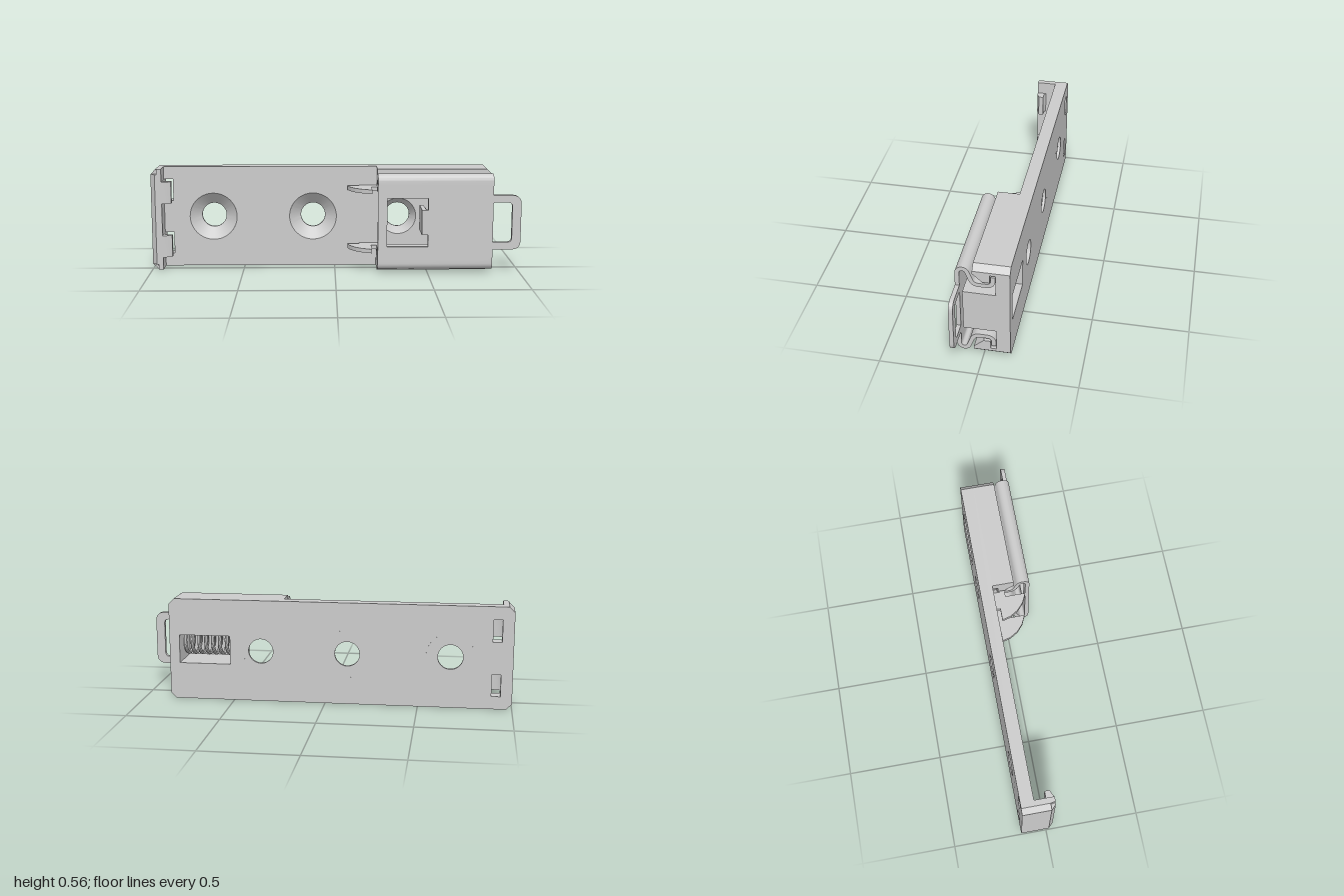
import * as THREE from 'three';
import { toCreasedNormals } from 'three/addons/utils/BufferGeometryUtils.js';

const MID = 0.278, H = 0.556, BACK = -0.135, FLOOR = -0.065;
const mat = new THREE.MeshStandardMaterial({ color: 0xcccccc, side: THREE.DoubleSide });

export function createModel() {
  const model = new THREE.Group();

  const add = (name, geo) => {
    const mesh = new THREE.Mesh(toCreasedNormals(geo, 0.6), mat);
    mesh.name = name;
    model.add(mesh);
    return mesh;
  };
  const rect = (x0, x1, y0, y1) => [[x0, y0], [x1, y0], [x1, y1], [x0, y1]];
  const toShape = (pts) => new THREE.Shape(pts.map((p) => new THREE.Vector2(p[0], p[1])));
  const extrude = (shape, depth) =>
    new THREE.ExtrudeGeometry(shape, { depth, bevelEnabled: false, curveSegments: 20 });
  // outline in (x, y), extruded along z
  const alongZ = (shape, z0, z1) => extrude(shape, z1 - z0).translate(0, 0, z0);
  // outline in (z, y), extruded along x
  const alongX = (pts, x0, x1) =>
    extrude(toShape(pts.map(([z, y]) => [-z, y])), x1 - x0).rotateY(Math.PI / 2).translate(x0, 0, 0);
  // outline in (x, z), extruded along y
  const alongY = (pts, y0, y1) =>
    extrude(toShape(pts.map(([x, z]) => [x, -z])), y1 - y0).rotateX(-Math.PI / 2).translate(0, y0, 0);
  const box = (x0, x1, y0, y1, z0, z1) => alongZ(toShape(rect(x0, x1, y0, y1)), z0, z1);
  const flip = (pts) => pts.map(([a, y]) => [a, H - y]);
  const circle = (x, r) => new THREE.Path().absarc(x, MID, r, 0, Math.PI * 2, true);

  // Base plate with chamfered corners, screw holes, hook slots and spring window
  const c = 0.03;
  const plate = toShape([[-1, c], [-1 + c, 0], [0.855 - c, 0], [0.855, c],
    [0.855, H - c], [0.855 - c, H], [-1 + c, H], [-1, H - c]]);
  const screws = [[-0.67, 0.13], [-0.12, 0.13], [0.35, 0.1]];
  screws.forEach(([x, r]) => plate.holes.push(circle(x, r)));
  const hookSpans = [[0.07, 0.19], [H - 0.19, H - 0.07]];
  hookSpans.forEach(([y0, y1]) => plate.holes.push(toShape(rect(-0.938, -0.89, y0, y1))));
  plate.holes.push(toShape(rect(0.52, 0.8, 0.2, 0.356)));
  add('basePlate', alongZ(plate, BACK, FLOOR));

  // Countersinks filling the screw holes
  for (const [x, r] of screws) {
    const profile = [[r, FLOOR], [0.067, -0.12], [0.067, BACK], [r, BACK], [r, FLOOR]];
    const geo = new THREE.LatheGeometry(profile.map((p) => new THREE.Vector2(p[0], p[1])), 48);
    add('countersink', geo.rotateX(Math.PI / 2).translate(x, MID, 0));
  }

  // End lip with two inward hooks
  add('endLip', alongZ(toShape([[-0.94, 0], [-1 + c, 0], [-1, c], [-1, H - c], [-1 + c, H], [-0.94, H]]),
    FLOOR, 0.015));
  add('endLipEdge', alongY([[-1, 0.015], [-0.975, 0.04], [-0.94, 0.04], [-0.94, 0.015]], c, H - c));
  for (const s of [0, 1]) {
    const y0 = s ? H - c : 0;
    add('endLipCorner', alongY([[-0.97, 0.015], [-0.965, 0.04], [-0.94, 0.04], [-0.94, 0.015]], y0, y0 + c));
  }
  for (const [y0, y1] of hookSpans) {
    add('lipHook', alongY([[-0.945, 0.04], [-0.92, 0.04], [-0.89, 0.026], [-0.89, 0],
      [-0.925, 0], [-0.945, -0.012]], y0, y1));
  }

  // Clip centreline in (z, y): front bend, sloping leg, flange, hooked end
  const arc = (cz, cy, r, a0, a1, n) => Array.from({ length: n + 1 }, (_, i) => {
    const a = THREE.MathUtils.degToRad(a0 + (a1 - a0) * i / n);
    return [cz + r * Math.cos(a), cy + r * Math.sin(a)];
  });
  const line = [[0.125, 0.48], ...arc(0.0993, 0.503, 0.0257, 0, 160, 14),
    ...arc(0.022, 0.48, 0.039, -20, -90, 8), ...arc(-0.02, 0.472, 0.031, 270, 180, 8), [-0.051, 0.497]];
  const offset = (d) => line.map(([z, y], i) => {
    const a = line[Math.max(i - 1, 0)], b = line[Math.min(i + 1, line.length - 1)];
    const l = Math.hypot(b[0] - a[0], b[1] - a[1]);
    return [z - d * (b[1] - a[1]) / l, y + d * (b[0] - a[0]) / l];
  });
  const strip = [...offset(0.011), ...offset(-0.011).reverse()];

  // Guide rail cross-section in (z, y), undercut for the clip ends
  const rail = [[FLOOR, 0.526], [0.05, 0.526], [0.05, 0.51], [0, 0.465], [-0.035, 0.465],
    [-0.035, 0.51], [FLOOR, 0.51]];
  const railSide = [[0.23, 0.526], [0.855, 0.526], [0.825, H], [0.23, H]];
  // Catch tooth in (x, z)
  const tooth = [[0.24, FLOOR], [0.135, FLOOR], [0.135, -0.04], [0.07, -0.04], [0.082, 0.005],
    [0.11, 0.05], [0.15, 0.085], [0.2, 0.108], [0.2, 0], [0.24, 0]];
  for (const m of [(p) => p, flip]) {
    add('guideRail', alongX(m(rail), 0.23, 0.855));
    add('guideRailSide', alongZ(toShape(m(railSide)), FLOOR, 0.05));
    add('clipSide', alongX(m(strip), 0.23, 0.85));
    const y = m([[0, 0.441]])[0][1];
    add('catchTooth', alongY(tooth, y - 0.011, y + 0.011));
  }

  // Clip front with window, tab and pull loop
  const front = new THREE.Shape();
  front.moveTo(0.23, 0.076);
  front.lineTo(0.85, 0.076);
  front.lineTo(0.85, 0.13);
  front.lineTo(0.95, 0.13);
  front.quadraticCurveTo(1, 0.13, 1, 0.18);
  front.lineTo(1, H - 0.18);
  front.quadraticCurveTo(1, H - 0.13, 0.95, H - 0.13);
  front.lineTo(0.85, H - 0.13);
  front.lineTo(0.85, H - 0.076);
  front.lineTo(0.23, H - 0.076);
  front.holes.push(toShape([[0.28, 0.145], [0.5, 0.145], [0.5, 0.21], [0.467, 0.21],
    [0.467, H - 0.21], [0.5, H - 0.21], [0.5, H - 0.145], [0.28, H - 0.145]]));
  const loop = new THREE.Path();
  loop.moveTo(0.85, 0.17);
  loop.lineTo(0.93, 0.17);
  loop.quadraticCurveTo(0.952, 0.17, 0.952, 0.195);
  loop.lineTo(0.952, H - 0.195);
  loop.quadraticCurveTo(0.952, H - 0.17, 0.93, H - 0.17);
  loop.lineTo(0.85, H - 0.17);
  front.holes.push(loop);
  add('clipFront', alongZ(front, 0.114, 0.136));
  add('springTab', box(0.467, 0.489, 0.21, H - 0.21, -0.03, 0.116));

  // Hollow spring housing, open to the back
  add('springHousing', alongX([[FLOOR, 0.163], [0.1, 0.163], [0.1, H - 0.163], [FLOOR, H - 0.163],
    [FLOOR, 0.356], [0.08, 0.356], [0.08, 0.2], [FLOOR, 0.2]], 0.52, 0.8));
  add('springHousingEnd', box(0.8, 0.855, 0.163, H - 0.163, FLOOR, 0.1));

  // Coil spring
  class Helix extends THREE.Curve {
    getPoint(t, v = new THREE.Vector3()) {
      const a = t * Math.PI * 2 * 8;
      return v.set(0.49 + 0.31 * t, MID + 0.052 * Math.cos(a), 0.01 + 0.052 * Math.sin(a));
    }
  }
  add('spring', new THREE.TubeGeometry(new Helix(), 200, 0.01, 8));

  return model;
}
